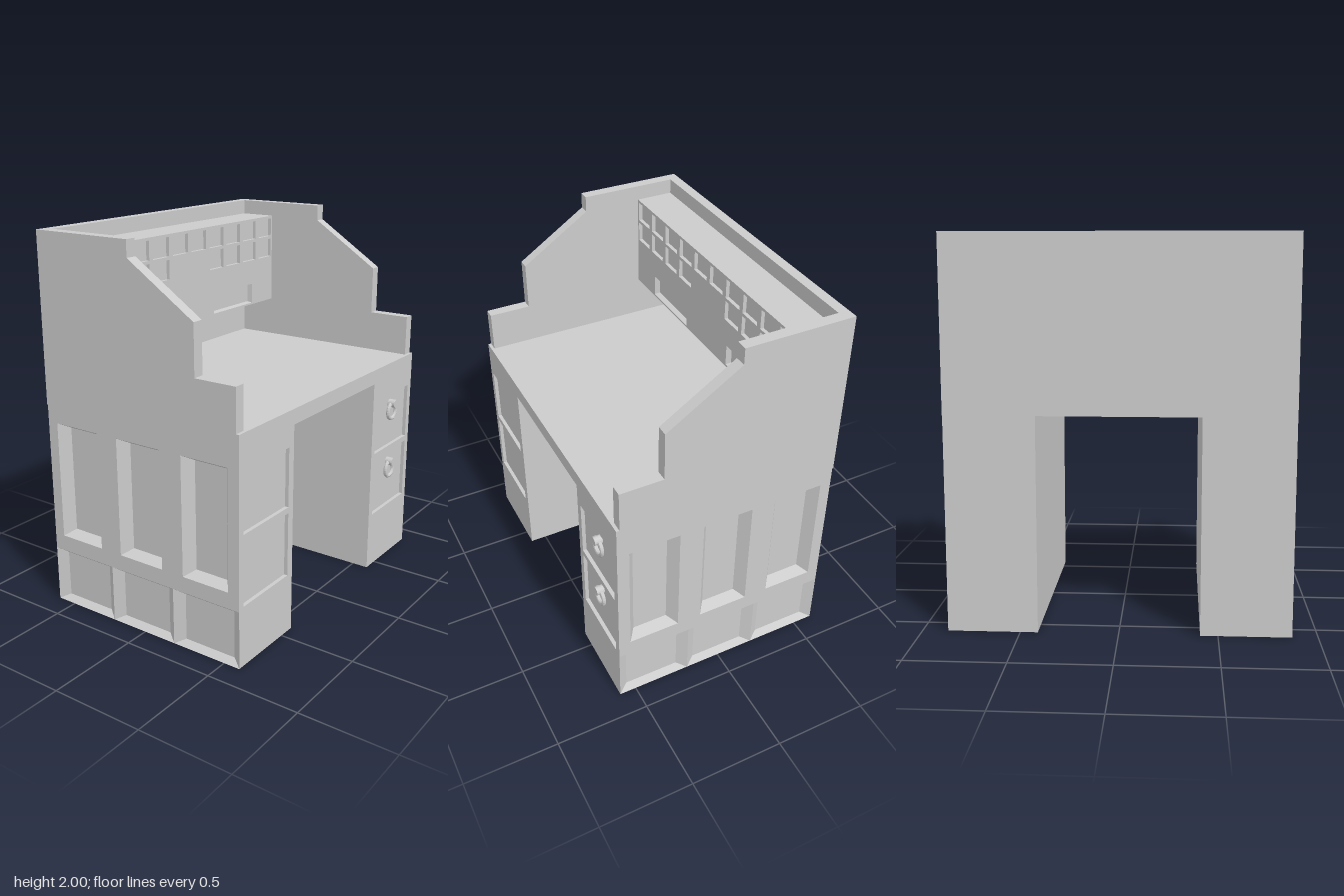
import * as THREE from 'three';
import { mergeGeometries } from 'three/addons/utils/BufferGeometryUtils.js';

const material = new THREE.MeshStandardMaterial({ color: 0xcccccc, flatShading: true });

const BACK = -0.61, FRONT = 0.59;   // depth of the desk along x
const HALF = 0.87, KNEE = 0.41;     // half width and half knee-hole along z
const TOP = 1.19, APRON = 1.11, PLINTH = 0.305;

function add(parent, name, geometry, x = 0, y = 0, z = 0) {
  const mesh = new THREE.Mesh(geometry, material);
  mesh.name = name;
  mesh.position.set(x, y, z);
  parent.add(mesh);
  return mesh;
}

// Box given by its two extreme corners
function box(parent, name, [x0, y0, z0], [x1, y1, z1]) {
  return add(parent, name, new THREE.BoxGeometry(x1 - x0, y1 - y0, z1 - z0),
    (x0 + x1) / 2, (y0 + y1) / 2, (z0 + z1) / 2);
}

// Horizontal sheet facing up (dir 1) or down (dir -1)
function sheet(parent, name, x0, x1, z0, z1, y, dir) {
  const geo = new THREE.PlaneGeometry(x1 - x0, z1 - z0).rotateX(-dir * Math.PI / 2);
  return add(parent, name, geo, (x0 + x1) / 2, y, (z0 + z1) / 2);
}

const rect = (x0, x1, y0, y1) => [[x0, y0], [x1, y0], [x1, y1], [x0, y1]];
const toPoints = (list) => list.map(([x, y]) => new THREE.Vector2(x, y));

// Sunken rectangle: four (optionally sloping) walls and a floor
function recess({ x0, x1, y0, y1, bx = 0, by = bx, depth }) {
  const o = rect(x0, x1, y0, y1).map(([x, y]) => [x, y, 0]);
  const i = rect(x0 + bx, x1 - bx, y0 + by, y1 - by).map(([x, y]) => [x, y, -depth]);
  const pos = [];
  const quad = (a, b, c, d) => pos.push(...a, ...b, ...c, ...a, ...c, ...d);
  for (let k = 0; k < 4; k++) quad(o[k], o[(k + 1) % 4], i[(k + 1) % 4], i[k]);
  quad(...i);
  const geo = new THREE.BufferGeometry();
  geo.setAttribute('position', new THREE.Float32BufferAttribute(pos, 3));
  geo.computeVertexNormals();
  return geo;
}

// Flat face in the local xy plane with sunken rectangles; extra ones need no hole
function panel(parent, name, outline, holes, extra = []) {
  const shape = new THREE.Shape(toPoints(outline));
  for (const h of holes) shape.holes.push(new THREE.Path(toPoints(rect(h.x0, h.x1, h.y0, h.y1).reverse())));
  const face = new THREE.ShapeGeometry(shape).toNonIndexed();
  face.deleteAttribute('uv');
  return add(parent, name, mergeGeometries([face, ...[...holes, ...extra].map(recess)]));
}

export function createModel() {
  const desk = new THREE.Group();
  desk.name = 'desk';

  // Panelled ends, three tall panels above three plinth bays
  for (const s of [1, -1]) {
    const span = (a, b) => (s > 0 ? { x0: a, x1: b } : { x0: -b, x1: -a });
    const tall = [], bays = [];
    const bay = (FRONT - BACK) / 3;
    for (let k = 0; k < 3; k++) {
      const x = -0.55 + 0.402 * k;
      tall.push({ ...span(x, x + 0.272), y0: 0.39, y1: 1.02, bx: 0.043, by: 0.03, depth: 0.055 });
      bays.push({ ...span(BACK + bay * k, BACK + bay * (k + 1)), y0: 0, y1: PLINTH, bx: 0.052, by: 0.027, depth: 0.035 });
    }
    const e = span(BACK, FRONT);
    const end = panel(desk, 'panelledEnd', rect(e.x0, e.x1, PLINTH, TOP), tall, bays);
    end.position.z = s * HALF;
    if (s < 0) end.rotation.y = Math.PI;
  }

  // Front face with knee hole and sunken drawers
  const arch = [[-HALF, 0], [-KNEE, 0], [-KNEE, APRON], [KNEE, APRON], [KNEE, 0], [HALF, 0], [HALF, TOP], [-HALF, TOP]];
  const drawers = [];
  for (const [x0, x1] of [[-0.835, -0.452], [0.447, 0.832]])
    for (const [y0, y1] of [[0.32, 0.66], [0.692, 1.005]]) drawers.push({ x0, x1, y0, y1, depth: 0.02 });
  const front = panel(desk, 'drawerFront', arch, drawers);
  front.rotation.y = Math.PI / 2;
  front.position.x = FRONT;

  // Back face with the same opening
  const back = panel(desk, 'backFace', arch, []);
  back.rotation.y = -Math.PI / 2;
  back.position.x = BACK;

  // Writing surface, knee-hole lining and pedestal undersides
  sheet(desk, 'writingSurface', BACK, FRONT, -HALF, HALF, TOP, 1);
  sheet(desk, 'kneeHoleCeiling', BACK, FRONT, -KNEE, KNEE, APRON, -1);
  for (const s of [1, -1]) {
    const side = add(desk, 'kneeHoleSide', new THREE.PlaneGeometry(FRONT - BACK, APRON), (BACK + FRONT) / 2, APRON / 2, s * KNEE);
    if (s > 0) side.rotation.y = Math.PI;
    sheet(desk, 'pedestalBottom', BACK, FRONT, s > 0 ? KNEE : -HALF, s > 0 ? HALF : -KNEE, 0, -1);
  }

  // Upper back wall and stepped side walls
  box(desk, 'upperBackWall', [-0.615, APRON, -HALF], [-0.56, 2, HALF]);
  const profile = [[-0.56, TOP], [0.573, TOP], [0.573, 1.41], [0.345, 1.41], [0.345, 1.667], [-0.035, 1.915], [-0.035, 2], [-0.56, 2]];
  for (const z of [-HALF, HALF - 0.06]) {
    const geo = new THREE.ExtrudeGeometry(new THREE.Shape(toPoints(profile)), { depth: 0.06, bevelEnabled: false });
    add(desk, 'steppedSideWall', geo, 0, 0, z);
  }

  // Raised cabinet with pigeonholes and two slots
  const holes = [];
  for (let k = 0; k < 10; k++) {
    const c = (k - 4.5) * 0.1625;
    const cell = { x0: c - 0.066, x1: c + 0.066, depth: 0.02 };
    holes.push({ ...cell, y0: 1.8, y1: 1.905 });
    if (k < 4 || k > 5) holes.push({ ...cell, y0: 1.677, y1: 1.783 });
  }
  for (const s of [-1, 1]) {
    const c = s * 0.405;
    holes.push({ x0: c - 0.192, x1: c + 0.192, y0: 1.42, y1: 1.535, bx: 0.006, depth: 0.03 });
  }
  const cabinet = panel(desk, 'pigeonholeFront', rect(-0.81, 0.81, 1.41, 1.92), holes);
  cabinet.rotation.y = Math.PI / 2;
  cabinet.position.x = -0.355;
  sheet(desk, 'cabinetTop', -0.56, -0.355, -0.81, 0.81, 1.92, 1);
  sheet(desk, 'cabinetBottom', -0.56, -0.355, -0.81, 0.81, 1.41, -1);

  // Ring pulls on one pedestal
  for (const y of [0.897, 0.543]) {
    const pull = new THREE.Group();
    pull.name = 'ringPull';
    pull.position.set(0.57, y, -0.645);
    add(pull, 'ring', new THREE.TorusGeometry(0.046, 0.011, 8, 24).rotateY(Math.PI / 2), 0.017);
    add(pull, 'knob', new THREE.CylinderGeometry(0.023, 0.023, 0.042, 16).rotateZ(Math.PI / 2), 0.021, 0.044);
    desk.add(pull);
  }
  return desk;
}
